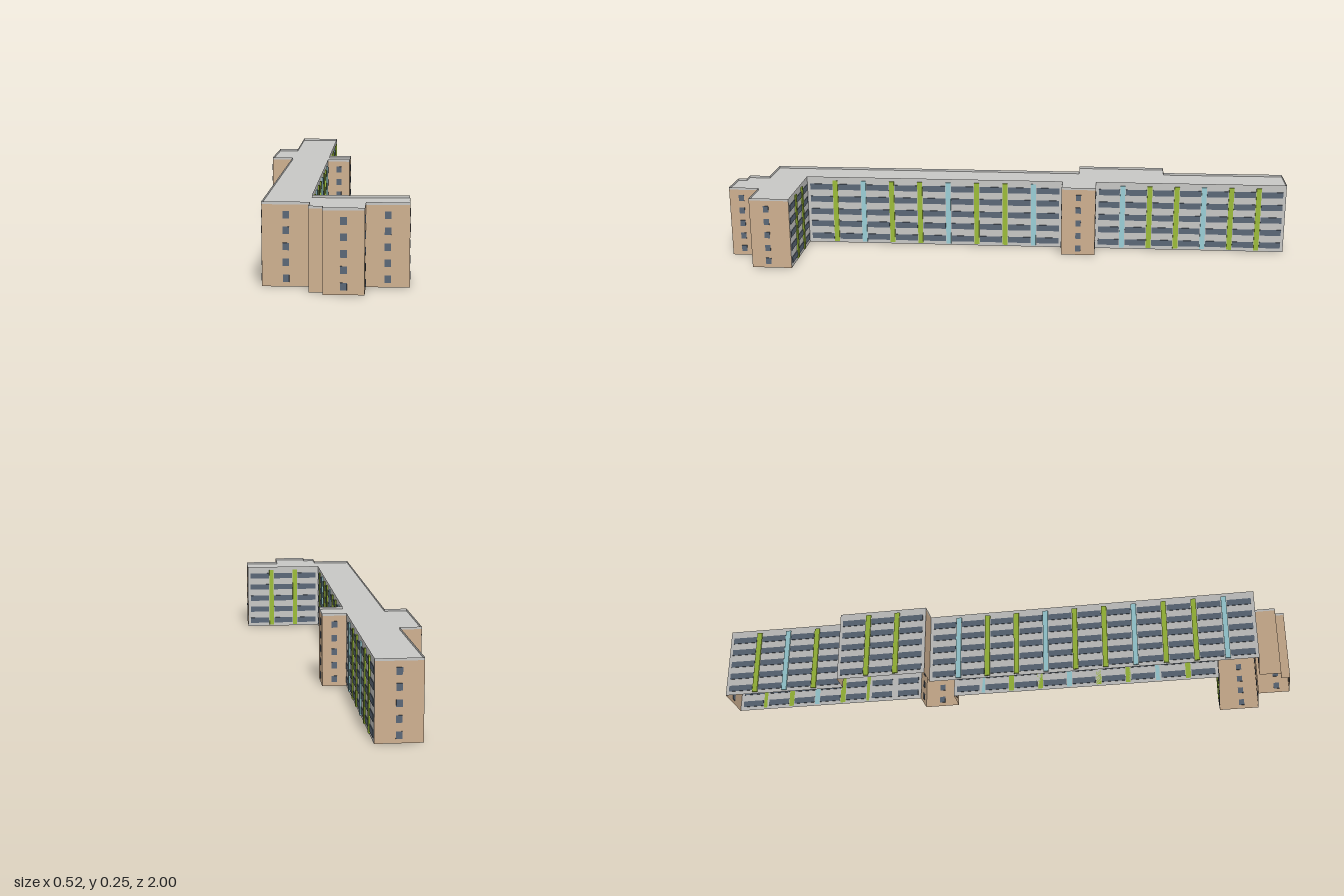
import * as THREE from 'three';

const mat = (name, color) => {
  const m = new THREE.MeshStandardMaterial({ color, side: THREE.DoubleSide });
  m.name = name;
  return m;
};

const WALL_TOP = 0.245, TOP = 0.253;
const ROWS = [0.025, 0.073, 0.12, 0.168, 0.215];

// Footprint corners, anticlockwise from above. Each entry describes the wall that starts there:
// [x, z, kind, detail]; a banded wall lists its fin colours, a plain wall its window column (0..1).
const FOOTPRINT = [
  [-0.176, 0.892, 'plain', 0.5],
  [-0.033, 0.892, 'plain'],
  [-0.033, 0.967, 'plain'],
  [0.009, 0.967, 'plain'],
  [0.009, 0.998, 'plain', 0.5],
  [0.13, 0.998, 'plain', 0.4],
  [0.13, 0.89, 'plain', 0.5],
  [0.26, 0.89, 'plain', 0.42],
  [0.26, 0.75, 'banded', 'gg'],
  [-0.037, 0.754, 'banded', 'gbggbggb'],
  [-0.041, -0.19, 'plain', 0.5],
  [0.041, -0.19, 'plain', 0.5],
  [0.041, -0.312, 'plain', 0.5],
  [-0.042, -0.312, 'banded', 'bggbgg'],
  [-0.047, -0.998, 'plain', 0.5],
  [-0.192, -0.998, 'banded', 'gbg'],
  [-0.185, -0.562, 'plain'],
  [-0.257, -0.562, 'banded', 'gg'],
  [-0.257, -0.248, 'plain'],
  [-0.18, -0.248, 'banded', 'bggbggbggb'],
];

export function createModel() {
  const model = new THREE.Group();
  model.name = 'officeBlock';

  const grey = mat('concrete grey', 0xc8c8c6);
  const tan = mat('tan cladding', 0xcfb191);
  const glass = mat('window slate', 0x5b6878);
  const green = mat('fin green', 0x9dbd3a);
  const blue = mat('fin blue', 0x9bd0d8);

  const add = (parent, name, geometry, material, x, y, z) => {
    const mesh = new THREE.Mesh(geometry, material);
    mesh.name = name;
    mesh.position.set(x, y, z);
    parent.add(mesh);
  };

  // Walls: local x runs along the wall, local z points outwards
  FOOTPRINT.forEach(([x, z, kind, detail], i) => {
    const [x2, z2] = FOOTPRINT[(i + 1) % FOOTPRINT.length];
    const length = Math.hypot(x2 - x, z2 - z);
    const banded = kind === 'banded';
    const wall = new THREE.Group();
    wall.name = banded ? 'bandedWall' : 'plainWall';
    wall.position.set(x, 0, z);
    wall.rotation.y = Math.atan2(z - z2, x2 - x);
    model.add(wall);

    add(wall, 'wallPanel', new THREE.PlaneGeometry(length, WALL_TOP), banded ? grey : tan, length / 2, WALL_TOP / 2, 0);
    add(wall, 'parapet', new THREE.PlaneGeometry(length, TOP - WALL_TOP), grey, length / 2, (TOP + WALL_TOP) / 2, 0);

    // Windows show on both faces of the thin wall
    const windows = (centre, width) => {
      const pane = new THREE.BoxGeometry(width, 0.022, 0.004);
      for (const y of ROWS) add(wall, 'window', pane, glass, centre, y, 0);
    };

    if (banded) {
      // Ribbon windows in equal bays, with a coloured fin between neighbours
      const bay = length / (detail.length + 1);
      const fin = new THREE.BoxGeometry(0.018, 0.234, 0.005);
      for (let b = 0; b <= detail.length; b++) {
        windows((b + 0.5) * bay, bay - 0.022);
        if (b > 0) add(wall, 'fin', fin, detail[b - 1] === 'g' ? green : blue, b * bay, 0.123, 0.0025);
      }
    } else if (detail !== undefined) {
      windows(length * detail, 0.019);
    }
  });

  // Flat roof just below the parapet lip
  const outline = new THREE.Shape(FOOTPRINT.map(([x, z]) => new THREE.Vector2(x, -z)));
  const roof = new THREE.ShapeGeometry(outline);
  roof.rotateX(-Math.PI / 2);
  add(model, 'roof', roof, grey, 0, WALL_TOP, 0);

  return model;
}
